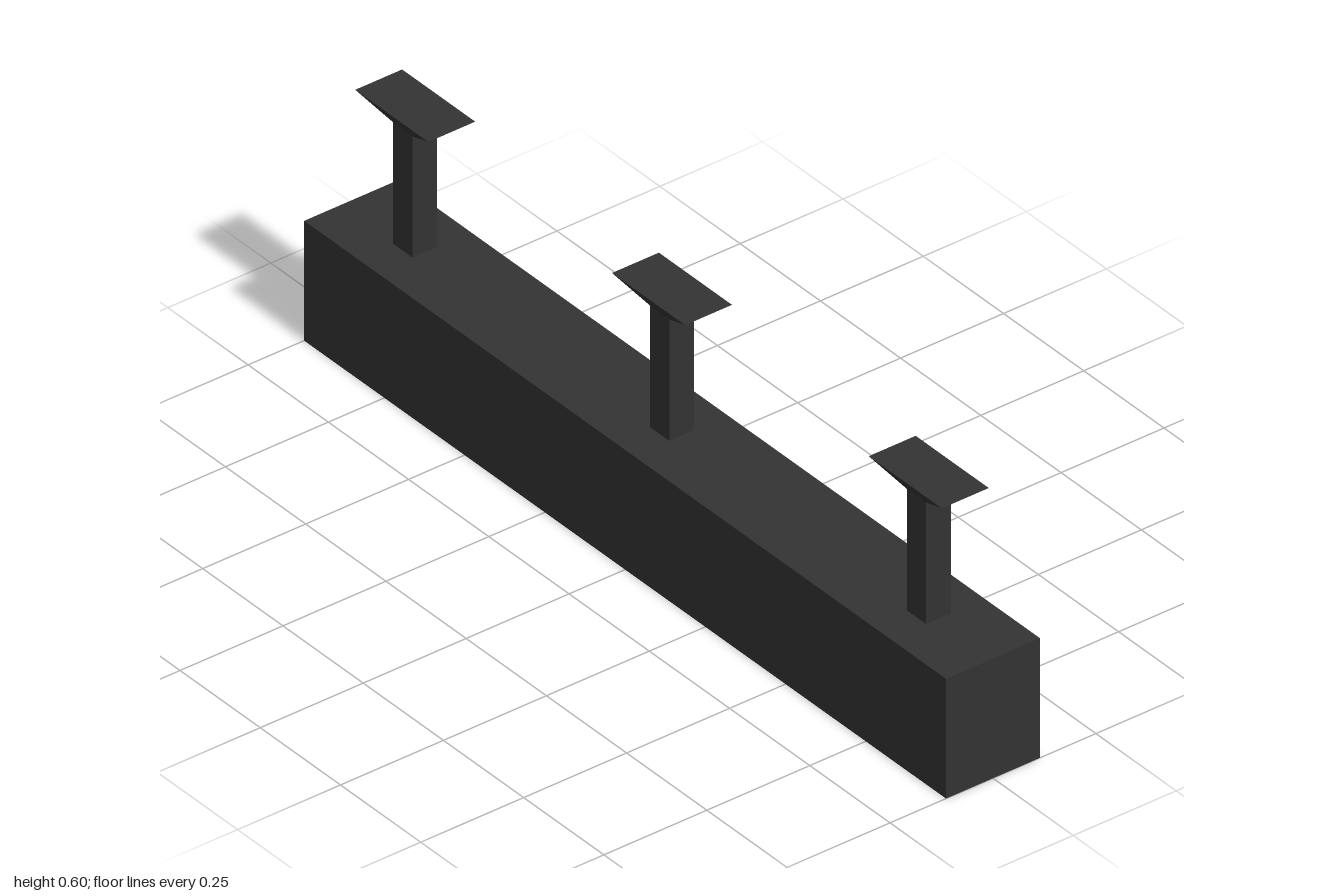
import * as THREE from 'three';

const dark = new THREE.MeshStandardMaterial({ color: 0x333333, side: THREE.DoubleSide });
const lampGrey = new THREE.MeshStandardMaterial({ color: 0xcccccc, flatShading: true });

function addMesh(parent, name, geometry, material, y) {
  const mesh = new THREE.Mesh(geometry, material);
  mesh.name = name;
  mesh.position.y = y;
  parent.add(mesh);
  return mesh;
}

// Thin-walled box with its bottom face left out
function openBottomBox(w, h, d) {
  const geo = new THREE.BoxGeometry(w, h, d);
  const index = Array.from(geo.index.array);
  index.splice(18, 6); // the fourth face looks down
  geo.setIndex(index);
  geo.clearGroups();
  return geo;
}

// Box whose top is widened to topW x topD
function flaredBox(w, h, d, topW, topD) {
  const geo = new THREE.BoxGeometry(w, h, d);
  const pos = geo.attributes.position;
  for (let i = 0; i < pos.count; i++) {
    if (pos.getY(i) > 0) {
      pos.setX(i, Math.sign(pos.getX(i)) * topW / 2);
      pos.setZ(i, Math.sign(pos.getZ(i)) * topD / 2);
    }
  }
  geo.computeVertexNormals();
  return geo;
}

export function createModel() {
  const model = new THREE.Group();
  model.name = 'ceilingLight';

  // Long housing, open underneath
  addMesh(model, 'housing', openBottomBox(0.228, 0.276, 2), dark, 0.138);

  // Lamp tube lying inside the housing
  const tube = new THREE.CylinderGeometry(0.067, 0.067, 1.88, 12);
  tube.rotateX(Math.PI / 2);
  addMesh(model, 'lampTube', tube, lampGrey, 0.068);

  // Three hangers, each a square post with a flared ceiling plate
  for (const z of [-0.8, 0, 0.8]) {
    const hanger = new THREE.Group();
    hanger.name = 'hanger';
    hanger.position.z = z;
    addMesh(hanger, 'post', new THREE.BoxGeometry(0.06, 0.28, 0.06), dark, 0.418);
    addMesh(hanger, 'ceilingPlate', flaredBox(0.06, 0.042, 0.06, 0.114, 0.228), dark, 0.579);
    model.add(hanger);
  }
  return model;
}
